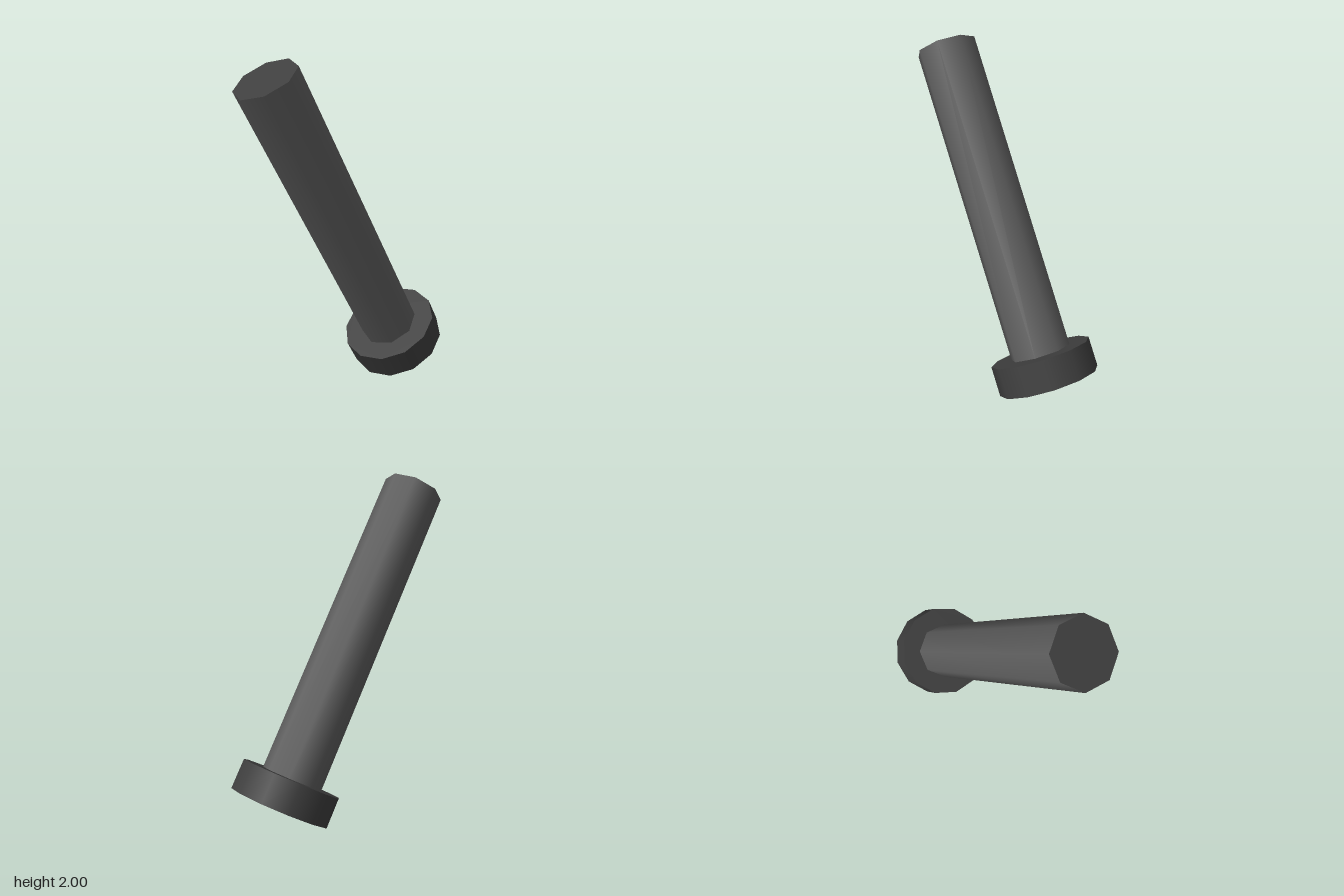
import * as THREE from 'three';

const HEAD_R = 0.295, HEAD_H = 0.172, HEAD_SIDES = 12;
const SHAFT_R = 0.178, LENGTH = 2.035, SHAFT_SIDES = 8;
const SOCKET_R = 0.2, SOCKET_DEPTH = 0.09;

// Corners of a regular polygon
function corners(radius, sides) {
  return Array.from({ length: sides }, (_, i) => {
    const a = (i / sides) * Math.PI * 2;
    return new THREE.Vector2(radius * Math.sin(a), radius * Math.cos(a));
  });
}

// Flat polygon at height y facing up (+1) or down (-1), optionally with a hole
function cap(radius, sides, y, facing, hole) {
  const shape = new THREE.Shape(corners(radius, sides));
  if (hole) shape.holes.push(new THREE.Path(hole));
  return new THREE.ShapeGeometry(shape).rotateX(-facing * Math.PI / 2).translate(0, y, 0);
}

// Open wall with smooth sides
function wall(radius, sides, y0, y1) {
  return new THREE.CylinderGeometry(radius, radius, y1 - y0, sides, 1, true)
    .translate(0, (y0 + y1) / 2, 0);
}

export function createModel() {
  const darkSteel = new THREE.MeshStandardMaterial({ color: 0x3e3e3e });
  darkSteel.name = 'dark steel';
  const shaftSteel = new THREE.MeshStandardMaterial({ color: 0x5e5e5e });
  shaftSteel.name = 'shaft steel';

  const model = new THREE.Group();
  model.name = 'bolt';
  const bolt = new THREE.Group();
  bolt.name = 'tiltedBolt';
  model.add(bolt);
  const add = (parent, name, geometry, material) => {
    const mesh = new THREE.Mesh(geometry, material);
    mesh.name = name;
    parent.add(mesh);
  };

  // Head with a hexagonal socket in its underside
  const head = new THREE.Group();
  head.name = 'head';
  bolt.add(head);
  add(head, 'headRim', wall(HEAD_R, HEAD_SIDES, 0, HEAD_H), darkSteel);
  add(head, 'headShoulder', cap(HEAD_R, HEAD_SIDES, HEAD_H, 1), darkSteel);
  add(head, 'headFace', cap(HEAD_R, HEAD_SIDES, 0, -1, corners(SOCKET_R, 6)), darkSteel);
  add(head, 'socketFloor', cap(SOCKET_R, 6, SOCKET_DEPTH, -1), darkSteel);

  // Socket walls: six flat panels facing inward
  for (let i = 0; i < 6; i++) {
    const apothem = SOCKET_R * Math.cos(Math.PI / 6);
    const panel = new THREE.PlaneGeometry(SOCKET_R, SOCKET_DEPTH)
      .translate(0, SOCKET_DEPTH / 2, -apothem)
      .rotateY((i + 0.5) * Math.PI / 3);
    add(head, 'socketWall', panel, darkSteel);
  }

  // Shaft and its flat tip
  add(bolt, 'shaft', wall(SHAFT_R, SHAFT_SIDES, HEAD_H, LENGTH), shaftSteel);
  add(bolt, 'shaftTip', cap(SHAFT_R, SHAFT_SIDES, LENGTH, 1), darkSteel);

  // Lean forward, resting on the edge of the head
  bolt.rotation.x = Math.PI / 6;
  bolt.position.set(0, HEAD_R / 2, -0.457);
  return model;
}
